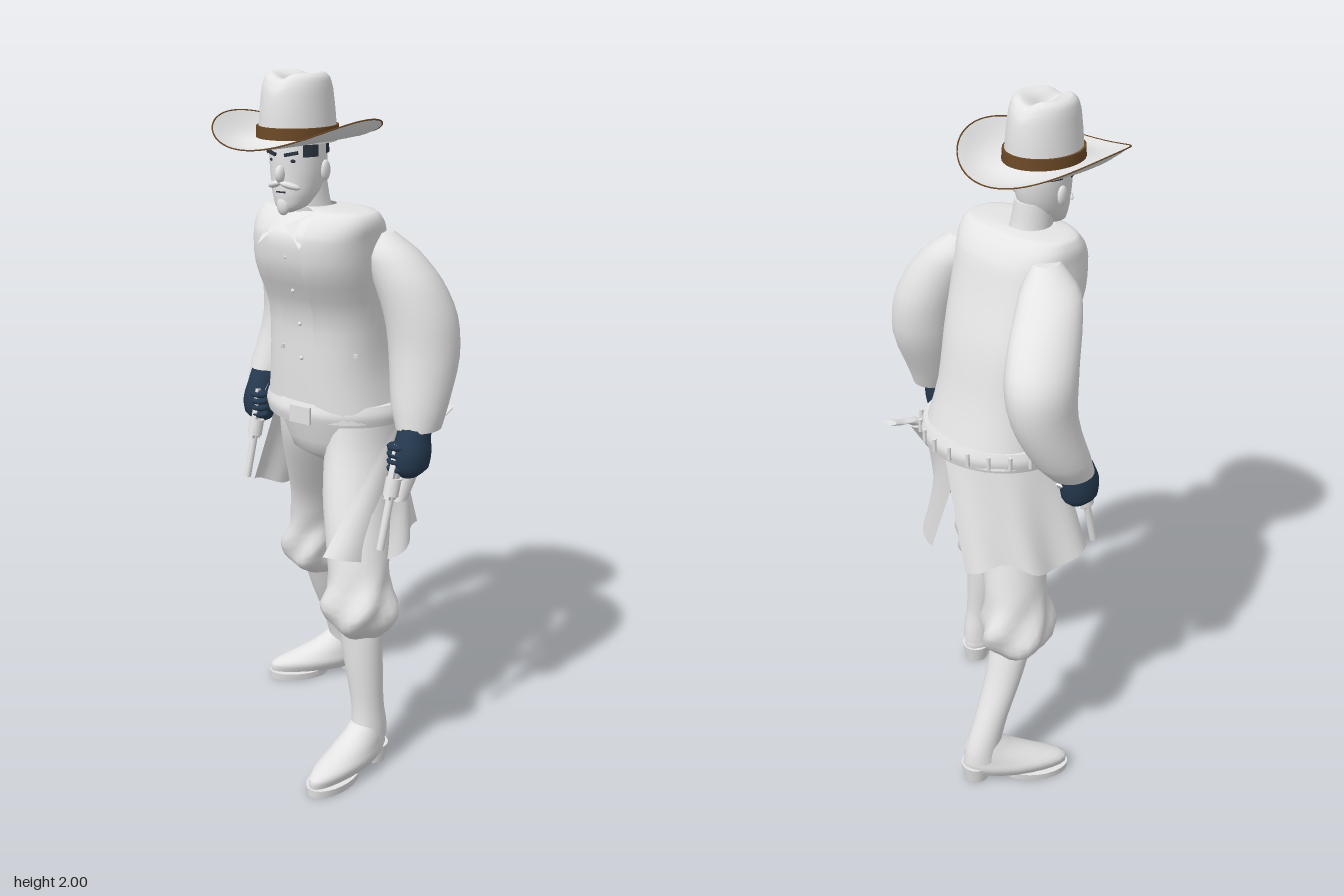
import * as THREE from 'three';

const mat = (name, color, side = THREE.FrontSide) => {
  const m = new THREE.MeshStandardMaterial({ color, side });
  m.name = name;
  return m;
};
const PI = Math.PI;

// Skin of horizontal (super)elliptical sections [x, y, z, rx, rz], listed bottom to top
function loft(rings, { seg = 24, sub = 3, p = 2, arc = null, yaw = 0, pad = 0, caps = true, tweak = null } = {}) {
  const mid = new THREE.CatmullRomCurve3(rings.map(r => new THREE.Vector3(r[0], r[1], r[2])));
  const rad = new THREE.CatmullRomCurve3(rings.map(r => new THREE.Vector3(r[3], r[4], 0)));
  const n = (rings.length - 1) * sub, rows = [];
  for (let k = 0; k <= n; k++) rows.push([mid.getPoint(k / n), rad.getPoint(k / n), pad]);
  if (caps && !arc) {
    const zero = new THREE.Vector3();
    rows.unshift([rows[0][0], zero, 0], rows[0]);
    rows.push(rows[rows.length - 1], [rows[rows.length - 1][0], zero, 0]);
  }
  const [a0, a1] = arc || [0, 2 * PI], cols = arc ? seg + 1 : seg, pos = [], idx = [];
  const pw = v => Math.sign(v) * Math.pow(Math.abs(v), 2 / p);
  for (const [c, r, d] of rows) for (let i = 0; i < cols; i++) {
    const a = a0 + (a1 - a0) * i / seg;
    const x = pw(Math.cos(a)) * (r.x + d), z = pw(Math.sin(a)) * (r.y + d);
    const v = new THREE.Vector3(c.x + x * Math.cos(yaw) + z * Math.sin(yaw), c.y, c.z - x * Math.sin(yaw) + z * Math.cos(yaw));
    if (tweak) tweak(v, a);
    pos.push(v.x, v.y, v.z);
  }
  for (let k = 0; k < rows.length - 1; k++) for (let i = 0; i < seg; i++) {
    const j = (i + 1) % cols, A = k * cols + i, B = k * cols + j;
    idx.push(A, A + cols, B, B, A + cols, B + cols);
  }
  return surface(pos, idx);
}

function surface(pos, idx) {
  const g = new THREE.BufferGeometry();
  g.setAttribute('position', new THREE.Float32BufferAttribute(pos, 3));
  g.setIndex(idx);
  g.computeVertexNormals();
  return g;
}

// Open sheet from a function of u and v
function sheet(f, nu, nv) {
  const pos = [], idx = [];
  for (let j = 0; j <= nv; j++) for (let i = 0; i <= nu; i++) pos.push(...f(i / nu, j / nv));
  for (let j = 0; j < nv; j++) for (let i = 0; i < nu; i++) {
    const a = j * (nu + 1) + i, b = a + nu + 1;
    idx.push(a, a + 1, b, a + 1, b + 1, b);
  }
  return surface(pos, idx);
}

export function createModel() {
  const root = new THREE.Group();
  const grey = mat('lightGrey', 0xe4e4e4), cloth = mat('lightGreyCloth', 0xe4e4e4, THREE.DoubleSide);
  const brown = mat('brownBand', 0x6b4826, THREE.DoubleSide), navy = mat('navyGlove', 0x25394f);
  const dark = mat('darkHair', 0x2a3440, THREE.DoubleSide);
  const add = (name, geo, m = grey, parent = root) => {
    const o = new THREE.Mesh(geo, m);
    o.name = name;
    parent.add(o);
    return o;
  };
  const ball = (name, m, x, y, z, sx, sy, sz, parent = root) => {
    const o = add(name, new THREE.SphereGeometry(1, 16, 12), m, parent);
    o.position.set(x, y, z);
    o.scale.set(sx, sy, sz);
    return o;
  };
  const box = (name, m, x, y, z, sx, sy, sz, parent = root) => {
    const o = add(name, new THREE.BoxGeometry(sx, sy, sz), m, parent);
    o.position.set(x, y, z);
    return o;
  };

  // Hat: dented crown, brown band, brim curled up at the sides
  const hx = -0.057, hz = 0.1;
  add('hatCrown', loft([[hx, 1.82, hz, .103, .118], [hx, 1.9, hz, .097, .112], [hx, 1.96, hz, .092, .102], [hx, 1.988, hz, .086, .088],
    [hx, 2.001, hz, .07, .068], [hx, 1.994, hz, .035, .035], [hx, 1.982, hz, .005, .005]], {
    seg: 40, tweak: v => {
      if (v.y > 1.93) v.y -= .016 * Math.exp(-(((v.x - hx) / .022) ** 2)) * Math.min(1, (v.y - 1.93) / .05);
    }
  }));
  add('hatBand', loft([[hx, 1.826, hz, .108, .123], [hx, 1.863, hz, .106, .121]], { seg: 40 }), brown);
  const brimPoint = (a, s) => [hx + Math.cos(a) * (.1 + .123 * s),
    1.835 + .052 * Math.cos(a) ** 2 * s ** 2 - .017 * s * Math.sin(a) ** 2 - .01 * Math.sin(PI * s), hz + Math.sin(a) * (.114 + .125 * s)];
  add('hatBrim', sheet((u, v) => brimPoint(-u * 2 * PI, v), 48, 6), cloth);
  const rim = Array.from({ length: 48 }, (_, i) => new THREE.Vector3(...brimPoint(i / 48 * 2 * PI, 1)));
  add('hatRim', new THREE.TubeGeometry(new THREE.CatmullRomCurve3(rim, true), 96, .002, 6, true), brown);

  // Head and face
  add('neck', loft([[-.03, 1.56, .05, .07, .07], [-.04, 1.65, .07, .058, .06], [-.045, 1.72, .08, .055, .06]]));
  const skull = [[-.052, 1.74, .105, .073, .083], [-.054, 1.79, .102, .077, .085], [-.055, 1.85, .1, .076, .08]];
  add('head', loft([[-.05, 1.635, .155, .014, .016], [-.05, 1.65, .14, .042, .045], [-.05, 1.69, .115, .063, .075], ...skull]));
  // Hair patches at the temples and behind the ears
  for (const [a, b, y] of [[.2, .75, 1.785], [-.95, -.2, 1.79], [PI - .75, PI - .2, 1.785], [PI + .2, PI + .95, 1.79]])
    add('hairPatch', loft([[-.054, y, .102, .077, .085], [-.055, 1.84, .1, .0765, .082]], { arc: [a, b], pad: .004, seg: 8 }), dark);
  ball('nose', grey, -.05, 1.74, .19, .013, .024, .018);
  for (const s of [-1, 1]) {
    ball('ear', grey, -.054 + s * .078, 1.745, .085, .01, .028, .018);
    box('eyebrow', dark, -.052 + s * .032, 1.794, .181, .038, .009, .008).rotation.set(0, s * .3, s * .2);
    ball('eye', dark, -.052 + s * .032, 1.775, .176, .011, .005, .004);
    ball('moustache', grey, -.05 + s * .026, 1.71, .182, .03, .009, .012).rotation.set(0, s * .45, -s * .25);
  }
  box('mouth', dark, -.05, 1.692, .188, .03, .004, .005);
  ball('goatee', grey, -.05, 1.655, .178, .02, .027, .014);

  // Torso with a vest open at the front and closing over the shoulders
  const chest = [[-.02, 1.04, -.055, .2, .18], [-.024, 1.2, -.03, .174, .155], [-.022, 1.35, -.01, .174, .14],
    [-.015, 1.48, .045, .182, .148], [-.01, 1.57, .065, .183, .138], [-.008, 1.615, .067, .165, .095], [-.02, 1.635, .065, .075, .06]];
  add('shirt', loft(chest, { p: 2.5, yaw: -.12, seg: 36 }));
  add('vest', loft([...chest.slice(0, 5), [-.007, 1.61, .068, .185, .115], [-.007, 1.642, .07, .168, .084], [-.015, 1.648, .07, .1, .06], [-.03, 1.65, .07, .055, .05]],
    { p: 2.5, yaw: -.12, seg: 40, pad: .009, arc: [PI / 2 + .25, PI * 2.5 - .25] }), cloth);
  for (const s of [-1, 1]) {
    // Shirt collar points and vest pockets
    const corners = [-.045 + s * .01, 1.605, .19, -.04 + s * .085, 1.65, .1, -.04 + s * .07, 1.55, .218];
    add('collarPoint', surface(corners, s < 0 ? [0, 1, 2] : [0, 2, 1]), cloth);
    box('vestPocket', grey, -.02 + s * .115, 1.24, .098, .075, .012, .012).rotation.y = s * .5;
  }
  for (const [y, z] of [[1.52, .197], [1.42, .166], [1.32, .135], [1.22, .129]]) ball('shirtButton', grey, -.03, y, z, .006, .006, .005);

  // Sleeves
  const left = [[.312, 1.06, .05, .062, .07], [.304, 1.12, .035, .08, .08], [.293, 1.25, -.003, .098, .1],
    [.276, 1.36, -.008, .102, .102], [.238, 1.46, .005, .098, .092], [.195, 1.53, .015, .082, .075], [.165, 1.585, .02, .035, .035]];
  const right = [[-.337, 1.06, -.115, .058, .068], [-.326, 1.12, -.15, .074, .085], [-.3, 1.25, -.195, .084, .1],
    [-.285, 1.36, -.19, .092, .108], [-.25, 1.45, -.13, .09, .105], [-.205, 1.535, -.055, .082, .085], [-.165, 1.6, -.02, .035, .04]];
  add('leftSleeve', loft(left));
  add('rightSleeve', loft(right));

  // Gloved fists
  const hand = (name, x, y, z, s) => {
    const g = new THREE.Group();
    g.name = name;
    g.position.set(x, y, z);
    add('palm', loft([[-s * .005, -.07, .012, .024, .03], [0, -.045, .012, .046, .056], [0, 0, .01, .053, .062],
      [0, .045, 0, .046, .054], [0, .085, -.02, .046, .05]], { seg: 14 }), navy, g);
    for (let i = 0; i < 4; i++) ball('finger', navy, -s * .022, -.042 + i * .021, .05, .03, .013, .025, g);
    ball('thumb', navy, -s * .048, -.01, .025, .016, .036, .02, g).rotation.x = .3;
    root.add(g);
  };
  hand('leftGlove', .315, 1.0, .08, 1);
  hand('rightGlove', -.328, 1.005, -.078, -1);

  // Revolver aimed along a direction
  const revolver = (name, from, to) => {
    const g = new THREE.Group(), a = new THREE.Vector3(...from), d = new THREE.Vector3(...to).sub(a);
    const len = d.length(), cyl = (n, r, h, y) => { add(n, new THREE.CylinderGeometry(r, r, h, 12), grey, g).position.y = y; };
    g.name = name;
    cyl('barrel', .011, len - .04, -len / 2 - .02);
    cyl('drum', .022, .05, -.095);
    box('frame', grey, 0, -.065, 0, .016, .13, .04, g);
    box('grip', grey, 0, .015, -.045, .024, .04, .09, g).rotation.x = -.45;
    box('hammer', grey, 0, .01, .02, .009, .03, .016, g);
    const t = add('triggerGuard', new THREE.TorusGeometry(.019, .004, 6, 14), grey, g);
    t.position.set(0, -.06, -.032);
    t.rotation.y = PI / 2;
    g.position.copy(a);
    g.quaternion.setFromUnitVectors(new THREE.Vector3(0, -1, 0), d.normalize());
    root.add(g);
  };
  revolver('leftRevolver', [.295, 1.0, .125], [.283, .735, .195]);
  revolver('rightRevolver', [-.305, 1.015, -.035], [-.325, .765, .015]);

  // Belt, buckle, cartridges and holster
  add('belt', loft([[-.02, 1.03, -.055, .222, .198], [-.02, 1.06, -.055, .228, .204], [-.02, 1.088, -.055, .22, .195]], { seg: 40 }));
  box('buckle', grey, -.02, 1.06, .15, .07, .05, .008);
  for (let i = 0; i < 9; i++) {
    const a = -PI / 2 + (i - 4) * .27;
    add('cartridge', new THREE.CylinderGeometry(.006, .006, .04, 8)).position.set(-.02 + .23 * Math.cos(a), 1.065, -.055 + .206 * Math.sin(a));
  }
  add('holster', loft([[.235, .815, .015, .018, .024], [.238, .9, -.03, .026, .042], [.235, 1.0, -.09, .03, .05]], { seg: 14 }));
  add('holsterGrip', loft([[.238, .98, -.085, .017, .026], [.245, 1.015, -.13, .017, .024], [.252, 1.025, -.175, .018, .02], [.253, 1.04, -.212, .02, .016]], { seg: 12 }));

  // Coat tails: flaring sheets with a wavy hem
  const tail = (name, t0, t1, b0, b1, rx, rz, low, cz) => add(name, sheet((u, v) => {
    const a = t0 + (t1 - t0) * u, b = b0 + (b1 - b0) * u, w = Math.sin(u * 16) * .012 * v;
    const x = (.215 * (1 - v)) * Math.cos(a) + (rx * v + w) * Math.cos(b);
    const z = (.195 * (1 - v)) * Math.sin(a) + (rz * v + w) * Math.sin(b);
    return [-.02 + x, 1.04 + (low - 1.04) * v + .02 * v * Math.cos(u * 9), -.055 * (1 - v) + cz * v + z];
  }, 24, 8), cloth);
  tail('leftCoatTail', .1, -1.7, .98, -1.05, .27, .27, .675, .03);
  tail('rightCoatTail', PI - .1, PI + 1.7, PI - .05, PI + 1.3, .295, .285, .73, -.02);

  // Trousers gathered in folds above the boots
  const folds = (v, a) => {
    const k = Math.max(0, 1 - Math.abs(v.y - .52) / .12) * .012;
    v.x += k * Math.cos(a) * Math.sin(5 * a + v.y * 30);
    v.z += k * Math.sin(a) * Math.sin(5 * a + v.y * 30);
    v.y += k * Math.sin(3 * a);
  };
  add('pelvis', loft([[-.02, .88, -.045, .04, .06], [-.02, .93, -.05, .15, .14], [-.02, 1.05, -.055, .2, .18]]));
  add('leftTrouserLeg', loft([[.172, .425, .12, .066, .058], [.175, .47, .128, .1, .095], [.175, .52, .135, .11, .103], [.165, .6, .125, .09, .085],
    [.14, .7, .09, .092, .1], [.105, .82, .035, .098, .12], [.08, .95, -.03, .1, .14], [.08, 1.05, -.05, .095, .14]], { tweak: folds }));
  add('rightTrouserLeg', loft([[-.19, .425, -.19, .066, .06], [-.2, .47, -.18, .097, .108], [-.2, .52, -.18, .1, .118], [-.19, .6, -.17, .083, .1],
    [-.165, .7, -.15, .088, .1], [-.135, .82, -.11, .095, .12], [-.11, .95, -.07, .1, .14], [-.11, 1.05, -.055, .095, .14]], { tweak: folds }));

  // Boots: shaft, pointed foot, sole and heel
  add('leftBootShaft', loft([[.2, .09, .12, .05, .066], [.2, .13, .118, .049, .06], [.196, .2, .12, .047, .051], [.182, .33, .122, .058, .055], [.171, .44, .122, .068, .057]]));
  add('rightBootShaft', loft([[-.183, .09, -.322, .052, .06], [-.184, .13, -.317, .049, .057], [-.188, .22, -.285, .048, .051], [-.19, .33, -.235, .055, .052], [-.19, .44, -.195, .062, .056]]));
  const foot = (name, x, z, yaw) => {
    const g = new THREE.Group();
    g.name = name;
    g.position.set(x, 0, z);
    g.rotation.y = yaw;
    add('upper', loft([[0, .022, .11, .046, .15], [0, .05, .1, .06, .157], [0, .08, .065, .056, .12], [0, .115, .025, .049, .08], [0, .155, .005, .04, .045]],
      { tweak: v => { if (v.z > .1) v.x *= 1 - .6 * (v.z - .1); } }), grey, g);
    add('sole', loft([[0, 0, .165, .054, .098], [0, .024, .165, .058, .1]], { sub: 1 }), grey, g);
    add('heel', new THREE.CylinderGeometry(.046, .036, .055, 16), grey, g).position.set(0, .0275, -.018);
    root.add(g);
  };
  foot('leftFoot', .2, .115, -.1);
  foot('rightFoot', -.18, -.32, -.72);
  return root;
}
